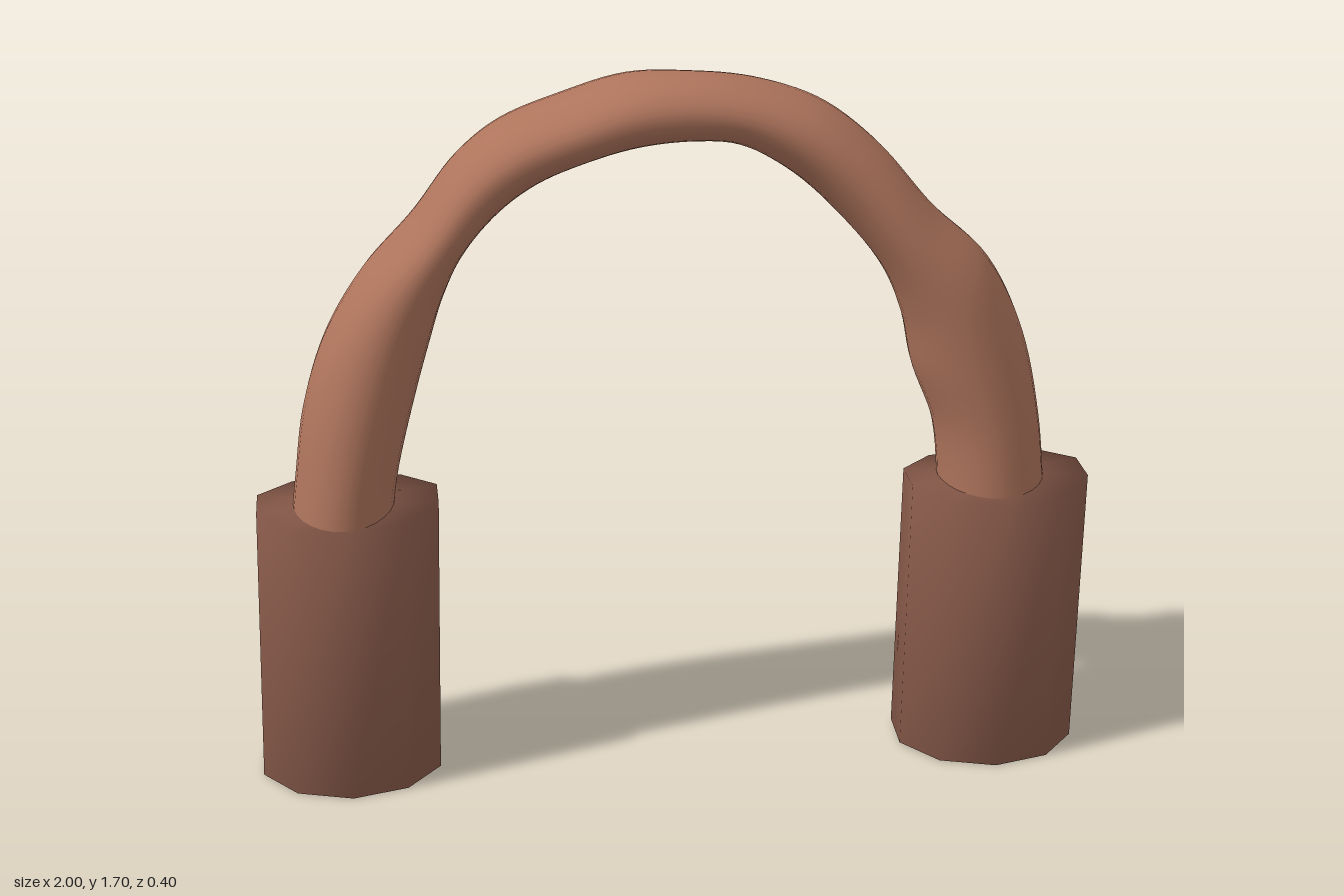
import * as THREE from 'three';
import { mergeVertices } from 'three/addons/utils/BufferGeometryUtils.js';

const archClay = new THREE.MeshStandardMaterial({ name: 'light clay', color: 0xae745c });
const baseClay = new THREE.MeshStandardMaterial({ name: 'dark clay', color: 0x885a4a });

// Arch sections: outer x, y, inner x, y, front z, back z
const SECTIONS = [
  [-0.91, 0.6, -0.67, 0.6, 0.185, -0.165],
  [-0.89, 0.76, -0.65, 0.76, 0.185, -0.165],
  [-0.865, 0.93, -0.61, 0.93, 0.18, -0.165],
  [-0.81, 1.1, -0.565, 1.09, 0.17, -0.16],
  [-0.72, 1.25, -0.53, 1.2, 0.16, -0.155],
  [-0.6, 1.38, -0.48, 1.3, 0.145, -0.155],
  [-0.5, 1.51, -0.4, 1.39, 0.133, -0.157],
  [-0.4, 1.59, -0.31, 1.455, 0.135, -0.163],
  [-0.25, 1.65, -0.2, 1.5, 0.135, -0.165],
  [-0.1, 1.695, -0.08, 1.533, 0.132, -0.15],
  [0.05, 1.698, 0.05, 1.545, 0.125, -0.125],
  [0.2, 1.675, 0.15, 1.532, 0.122, -0.145],
  [0.35, 1.62, 0.27, 1.465, 0.13, -0.165],
  [0.48, 1.52, 0.38, 1.365, 0.14, -0.155],
  [0.61, 1.37, 0.49, 1.23, 0.155, -0.13],
  [0.74, 1.245, 0.545, 1.1, 0.165, -0.165],
  [0.83, 1.07, 0.575, 0.97, 0.165, -0.198],
  [0.88, 0.85, 0.63, 0.82, 0.16, -0.18],
  [0.905, 0.6, 0.65, 0.6, 0.155, -0.16],
];

// Smooth loft through elliptical sections
function archGeometry(steps = 110, sides = 28) {
  const line = (f) => new THREE.CatmullRomCurve3(SECTIONS.map(f));
  const outer = line((s) => new THREE.Vector3(s[0], s[1], s[4]));
  const inner = line((s) => new THREE.Vector3(s[2], s[3], s[5]));
  const pos = [], index = [];
  for (let i = 0; i <= steps; i++) {
    const o = outer.getPoint(i / steps), n = inner.getPoint(i / steps);
    const c = o.clone().add(n).multiplyScalar(0.5);
    const h = o.clone().sub(n).multiplyScalar(0.5);
    for (let j = 0; j < sides; j++) {
      const t = (j / sides) * Math.PI * 2;
      pos.push(c.x + h.x * Math.cos(t), c.y + h.y * Math.cos(t), c.z + h.z * Math.sin(t));
      if (i < steps) {
        const k = (j + 1) % sides, a = i * sides, b = a + sides;
        index.push(a + j, a + k, b + k, a + j, b + k, b + j);
      }
    }
  }
  const g = new THREE.BufferGeometry();
  g.setAttribute('position', new THREE.Float32BufferAttribute(pos, 3));
  g.setIndex(index);
  g.computeVertexNormals();
  return g;
}

// Ten-sided block with softly shaded edges, leaning slightly to the left
function baseGeometry() {
  let g = new THREE.CylinderGeometry(0.2, 0.2, 0.675, 10, 1);
  g.deleteAttribute('normal');
  g.deleteAttribute('uv');
  g = mergeVertices(g);
  const p = g.attributes.position;
  for (let i = 0; i < p.count; i++) {
    const x = p.getX(i), y = p.getY(i), z = p.getZ(i);
    const rim = y > 0 ? 0.01 - 0.35 * z * z + 0.03 * z + 0.025 * x : -0.03 * z;
    p.setXYZ(i, x * 1.12 + y * 0.02, y + 0.3425 + rim, z);
  }
  g.computeVertexNormals();
  return g;
}

export function createModel() {
  const group = new THREE.Group();
  group.name = 'archHandle';

  const arch = new THREE.Mesh(archGeometry(), archClay);
  arch.name = 'arch';
  group.add(arch);

  const geometry = baseGeometry();
  for (const [name, x] of [['leftBase', 0.778], ['rightBase', -0.778]]) {
    const base = new THREE.Mesh(geometry, baseClay);
    base.name = name;
    base.position.x = x;
    group.add(base);
  }
  return group;
}
